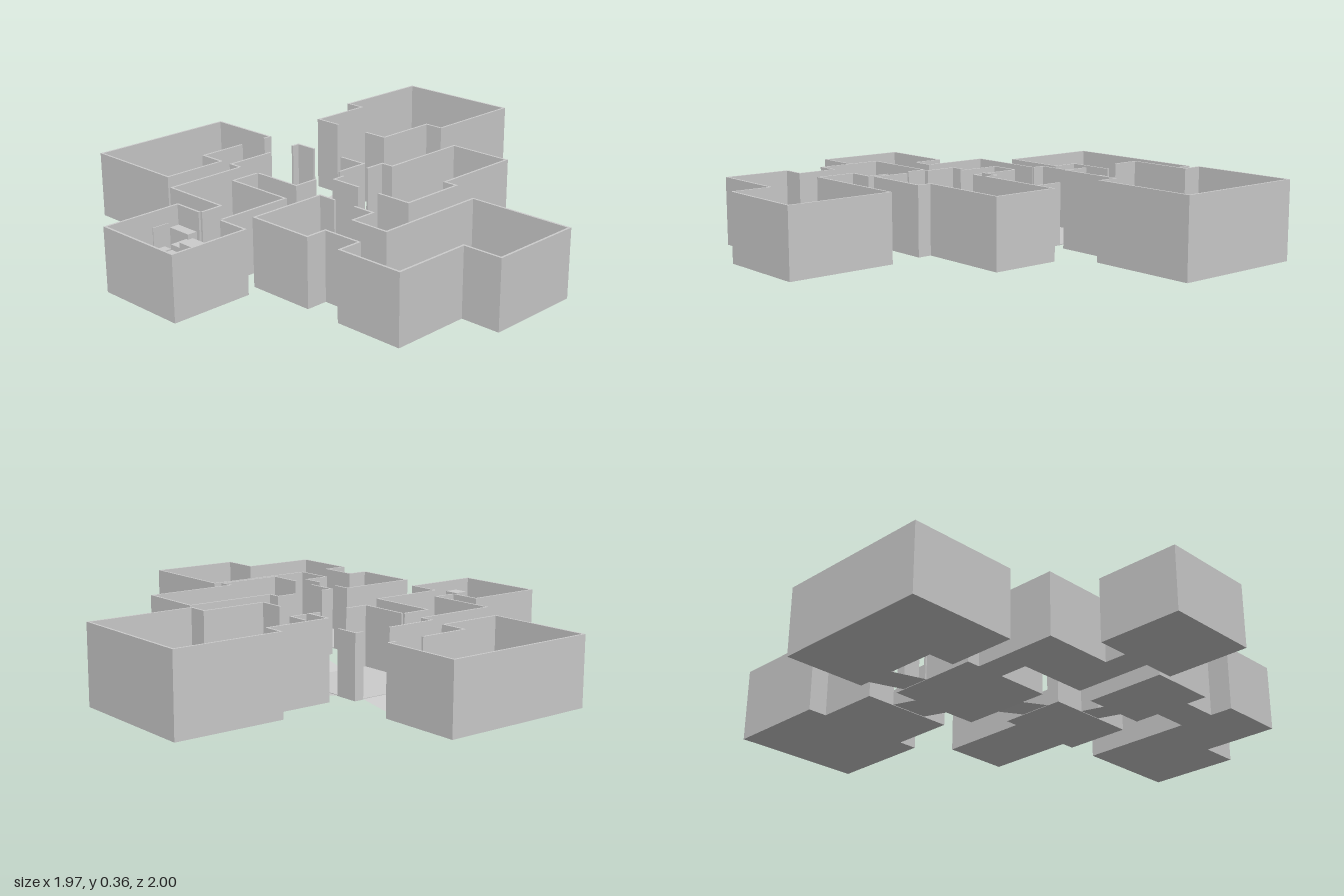
import * as THREE from 'three';

const WALL = 0.009, FLOOR = 0.004;

export function createModel() {
  const model = new THREE.Group();
  const grey = new THREE.MeshStandardMaterial({ color: 0xcccccc, side: THREE.DoubleSide });
  grey.name = 'plain grey';

  const add = (parent, name, geometry) => {
    const mesh = new THREE.Mesh(geometry, grey);
    mesh.name = name;
    parent.add(mesh);
    return mesh;
  };

  // Extrude a plan outline of [x, z] points upwards from y0
  const slab = (points, y0, height) => {
    const shape = new THREE.Shape(points.map(([x, z]) => new THREE.Vector2(x, -z)));
    const g = new THREE.ExtrudeGeometry(shape, { depth: height, bevelEnabled: false });
    return g.rotateX(-Math.PI / 2).translate(0, y0, 0);
  };

  // Closed outline of a wall that runs along a right-angled path, thickened inwards
  const wallOutline = (path) => {
    const normals = path.slice(1).map(([x, z], i) => [
      -Math.sign(z - path[i][1]), Math.sign(x - path[i][0])]);
    const inner = path.map(([x, z], i) => {
      const a = normals[Math.max(i - 1, 0)], b = normals[Math.min(i, normals.length - 1)];
      const straight = a[0] === b[0] && a[1] === b[1];
      const nx = straight ? a[0] : a[0] + b[0], nz = straight ? a[1] : a[1] + b[1];
      return [x + nx * WALL, z + nz * WALL];
    });
    return [...path, ...inner.reverse()];
  };

  // A room: wall paths go clockwise in plan, and the gaps between them are doorways
  const room = (name, y0, y1, ...paths) => {
    const group = new THREE.Group();
    group.name = name;
    model.add(group);
    add(group, name + 'Floor', slab(paths.flat(), y0, FLOOR));
    for (const path of paths) add(group, name + 'Wall', slab(wallOutline(path), y0, y1 - y0));
    return group;
  };

  room('northRoom', 0.05, 0.355,
    [[-0.38, -0.3], [-0.5, -0.3], [-0.5, -0.565], [-0.58, -0.565], [-0.58, -1],
      [-0.03, -1], [-0.03, -0.565], [-0.11, -0.565], [-0.11, -0.3], [-0.22, -0.3]]);

  room('hub', 0.027, 0.28,
    [[-0.22, -0.165], [-0.09, -0.165], [-0.09, -0.02]],
    [[-0.09, 0.11], [-0.09, 0.22], [-0.31, 0.22]],
    [[-0.42, 0.22], [-0.48, 0.22], [-0.48, 0]],
    [[-0.48, -0.125], [-0.48, -0.165], [-0.38, -0.165]]);

  room('bentHall', 0.027, 0.28,
    [[-0.31, 0.22], [-0.31, 0.34], [-0.015, 0.34], [-0.015, 0.66]],
    [[-0.135, 0.66], [-0.135, 0.57], [-0.425, 0.57], [-0.425, 0.22]]);

  const frontRoom = room('frontRoom', 0.027, 0.28,
    [[-0.015, 0.66], [0.12, 0.66], [0.12, 0.997], [-0.265, 0.997], [-0.265, 0.66], [-0.135, 0.66]]);

  room('westRoom', 0, 0.275,
    [[-0.65, 0], [-0.65, 0.205], [-0.54, 0.205], [-0.54, 0.49], [-0.985, 0.49],
      [-0.985, -0.165], [-0.65, -0.165], [-0.65, -0.125]]);

  room('northEastRoom', 0.06, 0.33,
    [[0.055, -0.02], [0.055, -0.11], [0.108, -0.11], [0.108, -0.485], [0.387, -0.485],
      [0.387, -0.11], [0.443, -0.11], [0.443, 0.167], [0.29, 0.167]],
    [[0.19, 0.167], [0.055, 0.167], [0.055, 0.11]]);

  room('eastWing', 0.043, 0.312,
    [[0.29, 0.285], [0.387, 0.285], [0.387, 0.39], [0.54, 0.39], [0.54, -0.08], [0.98, -0.08],
      [0.98, 0.31], [0.82, 0.31], [0.82, 0.63], [0.54, 0.63], [0.54, 0.535], [0.387, 0.535],
      [0.387, 0.622], [0.108, 0.622], [0.108, 0.285], [0.19, 0.285]]);

  // Open ramps: heights at the low-x/high-x and low-z/high-z corners come from a rule
  const ramp = (parent, name, x0, x1, z0, z1, height) => {
    const g = new THREE.PlaneGeometry(x1 - x0, z1 - z0).rotateX(-Math.PI / 2)
      .translate((x0 + x1) / 2, 0, (z0 + z1) / 2);
    const p = g.attributes.position;
    for (let i = 0; i < p.count; i++) {
      p.setY(i, height((p.getX(i) - x0) / (x1 - x0), (p.getZ(i) - z0) / (z1 - z0)));
    }
    g.computeVertexNormals();
    add(parent, name, g);
  };
  const lerp = THREE.MathUtils.lerp;
  ramp(model, 'northRamp', -0.38, -0.22, -0.3, -0.165, (u, v) => lerp(0.052, 0.029, v));
  ramp(model, 'westRamp', -0.65, -0.48, -0.125, 0, (u) => lerp(0.002, 0.029, u));
  ramp(model, 'eastRamp', -0.09, 0.055, -0.02, 0.11, (u) => lerp(0.029, 0.062, u));
  ramp(model, 'southRamp', 0.19, 0.29, 0.167, 0.285, (u, v) => lerp(0.062, 0.045, v));

  // Furnishings of the front room, standing on its floor: x0, x1, z0, z1, top
  const blocks = [
    ['backCounter', -0.256, -0.15, 0.669, 0.71, 0.2],
    ['sideCounter', -0.256, -0.22, 0.865, 0.985, 0.16],
    ['wallPanel', -0.256, -0.252, 0.715, 0.79, 0.22],
    ['table', -0.18, -0.145, 0.795, 0.84, 0.17],
    ['stool', -0.197, -0.182, 0.8, 0.82, 0.12],
    ['lowStep', -0.095, -0.06, 0.76, 0.8, 0.14],
    ['middleStep', -0.06, 0.01, 0.73, 0.79, 0.2],
    ['upperStep', -0.06, -0.01, 0.79, 0.86, 0.23],
    ['landing', -0.01, 0.055, 0.8, 0.86, 0.25],
    ['platform', -0.055, 0.055, 0.86, 0.94, 0.21],
  ];
  for (const [name, x0, x1, z0, z1, top] of blocks) {
    const h = top - 0.03;
    add(frontRoom, name, new THREE.BoxGeometry(x1 - x0, h, z1 - z0))
      .position.set((x0 + x1) / 2, 0.03 + h / 2, (z0 + z1) / 2);
  }
  const post = add(frontRoom, 'post', new THREE.BoxGeometry(0.018, 0.12, 0.018));
  post.position.set(-0.2, 0.09, 0.74);
  post.rotation.y = Math.PI / 4;
  ramp(frontRoom, 'platformRamp', 0.055, 0.111, 0.865, 0.94, (u) => lerp(0.21, 0.15, u));

  return model;
}
